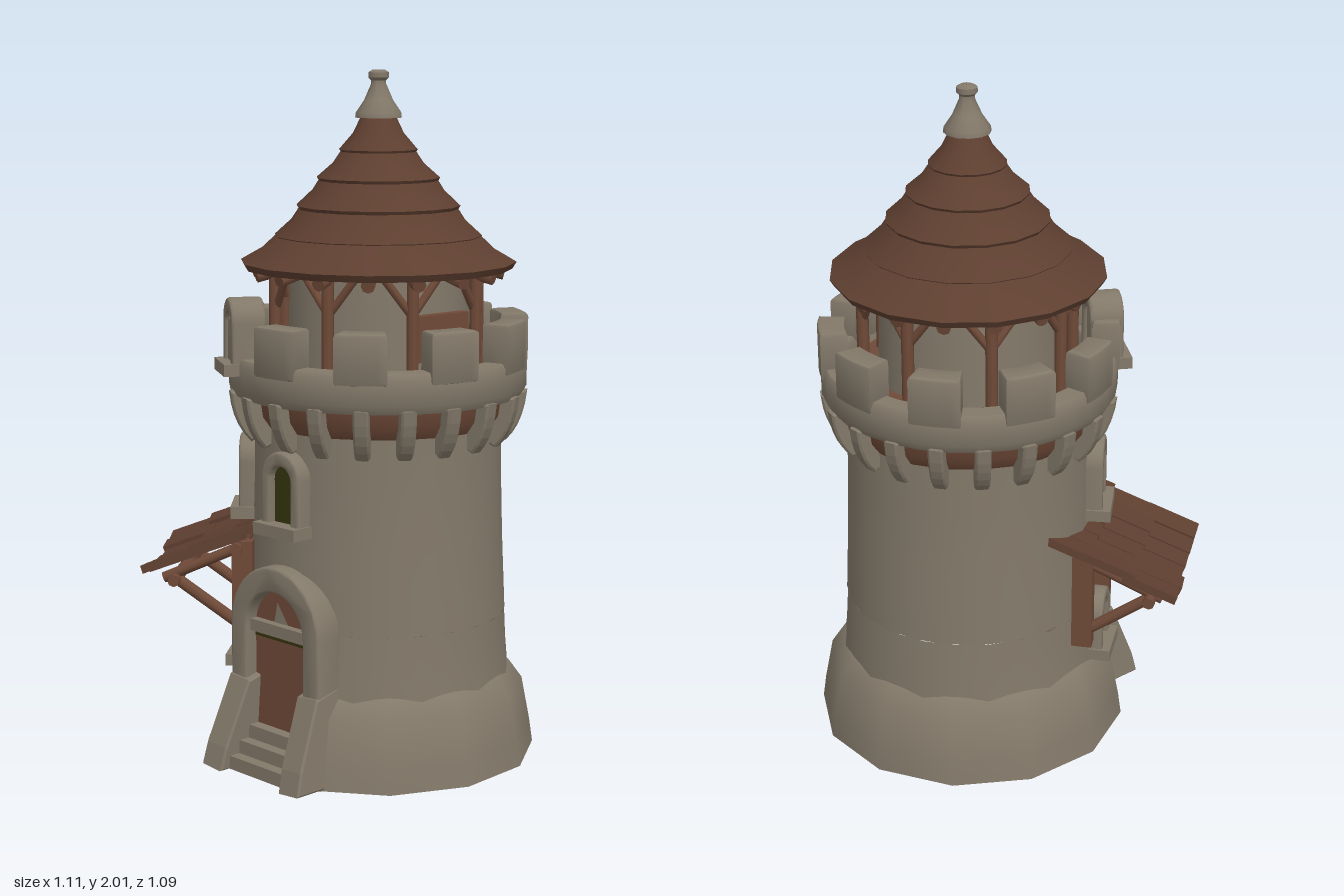
import * as THREE from 'three';
import { toCreasedNormals } from 'three/addons/utils/BufferGeometryUtils.js';

const material = (name, color, side = THREE.FrontSide) => {
  const m = new THREE.MeshStandardMaterial({ color, side });
  m.name = name;
  return m;
};
const stone = material('stone', 0x83796a, THREE.DoubleSide);
const wood = material('wood', 0x6f4a38);
const shingle = material('shingle', 0x5e3f30, THREE.DoubleSide);
const dark = material('window dark', 0x35340f);

const rad = THREE.MathUtils.degToRad;

function add(parent, name, geometry, mat, x = 0, y = 0, z = 0) {
  const mesh = new THREE.Mesh(geometry, mat);
  mesh.name = name;
  mesh.position.set(x, y, z);
  parent.add(mesh);
  return mesh;
}

// Group turned about the tower axis, so its local +z points outward (0 = front)
function spoke(parent, name, degrees) {
  const g = new THREE.Group();
  g.name = name;
  g.rotation.y = rad(degrees);
  parent.add(g);
  return g;
}

const lathe = (pts, sides, start = 0, length = 360, crease = 40) => toCreasedNormals(
  new THREE.LatheGeometry(pts.map(p => new THREE.Vector2(...p)), sides, rad(start), rad(length)), rad(crease));

const box = (w, h, d) => new THREE.BoxGeometry(w, h, d);

// Round timber between two points
function timber(parent, name, a, b, radius) {
  const p = new THREE.Vector3(...a), q = new THREE.Vector3(...b);
  const mesh = add(parent, name, new THREE.CylinderGeometry(radius, radius, p.distanceTo(q), 8), wood);
  mesh.position.copy(p).lerp(q, 0.5);
  mesh.quaternion.setFromUnitVectors(new THREE.Vector3(0, 1, 0), q.sub(p).normalize());
}

// Round-topped outline standing on y = 0
function arch(Type, half, height) {
  const s = new Type();
  s.moveTo(-half, 0);
  s.lineTo(half, 0);
  s.lineTo(half, height - half);
  s.absarc(0, height - half, half, 0, Math.PI, false);
  s.lineTo(-half, 0);
  return s;
}

// Arched stone surround with rounded edges
function surround(half, height, thick, depth) {
  const b = 0.008;
  const s = arch(THREE.Shape, half - b, height - b);
  const inner = arch(THREE.Path, half - thick + b, height - thick);
  s.holes.push(inner);
  const g = new THREE.ExtrudeGeometry(s, {
    depth: depth - 2 * b, bevelSize: b, bevelThickness: b, bevelSegments: 2, curveSegments: 10 });
  return toCreasedNormals(g.translate(0, 0, b), rad(50));
}

function windowAt(parent, name, degrees, radius, y, half, height) {
  const g = spoke(parent, name, degrees);
  add(g, 'windowFrame', surround(half, height, half * 0.45, 0.1), stone, 0, y, radius - 0.065);
  add(g, 'windowPane', new THREE.ExtrudeGeometry(arch(THREE.Shape, half * 0.65, height - half * 0.4),
    { depth: 0.008, bevelEnabled: false }), dark, 0, y, radius + 0.004);
  add(g, 'windowSill', box(half * 2.2, 0.035, 0.09), stone, 0, y + 0.01, radius + 0.015);
}

function buildWalls(t) {
  // Flared foot and lower wall leave a gap for the doorway
  add(t, 'foot', lathe([[0.47, 0], [0.46, 0.07], [0.435, 0.2], [0.395, 0.255], [0.375, 0.27]], 11, 25, 320, 60), stone);
  add(t, 'lowerWall', lathe([[0.392, 0.235], [0.384, 0.33], [0.379, 0.43]], 22, 25, 320), stone);
  add(t, 'upperWall', lathe([[0.379, 0.43], [0.369, 0.65], [0.363, 0.85], [0.363, 1.1]], 24), stone);
  add(t, 'corbelBand', lathe([[0.36, 0.99], [0.39, 1.03], [0.4, 1.09]], 24), wood);
  add(t, 'parapet', lathe([[0.36, 1.075], [0.42, 1.075], [0.434, 1.1], [0.435, 1.175], [0.425, 1.19],
    [0.37, 1.19], [0.36, 1.175], [0.36, 1.075]], 30), stone);
  add(t, 'walkway', new THREE.CylinderGeometry(0.365, 0.365, 0.02, 24), wood, 0, 1.13, 0);
  add(t, 'drum', lathe([[0.265, 1.13], [0.255, 1.47]], 24), stone);

  // Corbels
  const profile = new THREE.Shape();
  profile.moveTo(0.34, 1.08);
  profile.lineTo(0.34, 0.96);
  profile.lineTo(0.375, 0.945);
  profile.quadraticCurveTo(0.42, 0.99, 0.43, 1.08);
  const corbel = new THREE.ExtrudeGeometry(profile,
    { depth: 0.032, bevelSize: 0.006, bevelThickness: 0.006, bevelSegments: 1, curveSegments: 5 });
  corbel.translate(0, 0, -0.016).rotateY(-Math.PI / 2);
  for (let i = 0; i < 20; i++) add(spoke(t, 'corbelSpoke', 7 + i * 18), 'corbel', corbel, stone);

  // Merlons: curved blocks on the parapet
  const sector = new THREE.Shape();
  const a = rad(8.5);
  sector.absarc(0, 0, 0.428, -a, a, false);
  sector.absarc(0, 0, 0.368, a, -a, true);
  const merlon = new THREE.ExtrudeGeometry(sector,
    { depth: 0.125, bevelSize: 0.01, bevelThickness: 0.01, bevelSegments: 2, curveSegments: 4 });
  merlon.rotateX(-Math.PI / 2).rotateY(-Math.PI / 2);
  const smoothMerlon = toCreasedNormals(merlon, rad(40));
  for (let i = 0; i < 10; i++) add(spoke(t, 'merlonSpoke', 7 + i * 36), 'merlon', smoothMerlon, stone, 0, 1.165, 0);
}

function buildRoof(t) {
  // Overlapping shingle tiers: lower radius and height, upper radius and height
  const tiers = [[0.4, 1.455, 0.285, 1.54], [0.3, 1.53, 0.215, 1.63], [0.237, 1.615, 0.155, 1.715],
    [0.178, 1.695, 0.095, 1.79], [0.113, 1.775, 0.045, 1.88]];
  for (const [r0, y0, r1, y1] of tiers) {
    const mid = [(r0 + r1) / 2 - 0.006, (y0 + y1) / 2 - 0.006];
    add(t, 'roofTier', lathe([[r1 - 0.02, y1 - 0.03], [r0 - 0.012, y0 - 0.02], [r0, y0], mid, [r1, y1]], 16), shingle);
  }
  add(t, 'eaveUnderside', lathe([[0.25, 1.475], [0.385, 1.438]], 16), shingle);
  add(t, 'finial', lathe([[0.068, 1.865], [0.066, 1.88], [0.042, 1.915], [0.022, 1.96], [0.022, 1.97],
    [0.03, 1.978], [0.03, 1.993], [0.018, 2], [0, 2]], 12), stone);

  // Posts, braces and rafter ends
  for (let i = 0; i < 8; i++) {
    const g = spoke(t, 'roofPost', 22.5 + i * 45);
    timber(g, 'post', [0, 1.14, 0.31], [0, 1.45, 0.31], 0.018);
    for (const s of [-1, 1]) timber(g, 'brace', [0, 1.33, 0.305], [s * 0.09, 1.45, 0.295], 0.012);
  }
  for (let i = 0; i < 16; i++)
    timber(spoke(t, 'rafterSpoke', i * 22.5), 'rafterEnd', [0, 1.45, 0.25], [0, 1.422, 0.365], 0.02);
  const hatch = spoke(t, 'hatch', 90);
  add(hatch, 'hatchBoard', box(0.2, 0.13, 0.03), wood, -0.02, 1.265, 0.285);
}

function buildDoor(t) {
  const g = spoke(t, 'doorway', 4);
  add(g, 'doorFrame', surround(0.185, 0.61, 0.066, 0.09), stone, 0, 0, 0.325);
  add(g, 'door', new THREE.ExtrudeGeometry(arch(THREE.Shape, 0.14, 0.56),
    { depth: 0.03, bevelEnabled: false }), wood, 0, 0, 0.345);
  add(g, 'doorTransom', box(0.23, 0.035, 0.03), stone, 0, 0.42, 0.385);
  add(g, 'transomGap', box(0.23, 0.016, 0.008), dark, 0, 0.394, 0.378);
  [[0.04, 0.48], [0.08, 0.445], [0.12, 0.41]].forEach(([h, front]) =>
    add(g, 'step', box(0.25, h, front - 0.35), stone, 0, h / 2, (front + 0.35) / 2));

  // Sloping buttress at the foot of each jamb
  const side = new THREE.Shape([[0.34, 0], [0.505, 0], [0.49, 0.06], [0.415, 0.25], [0.34, 0.27]]
    .map(p => new THREE.Vector2(...p)));
  const foot = new THREE.ExtrudeGeometry(side,
    { depth: 0.075, bevelSize: 0.006, bevelThickness: 0.006, bevelSegments: 1 });
  foot.translate(0, 0.006, -0.0375).rotateY(-Math.PI / 2);
  for (const s of [-1, 1]) add(g, 'jambFoot', foot, stone, s * 0.165, 0, 0).rotation.z = s * 0.08;
}

function buildAwning(t) {
  const g = spoke(t, 'awning', -47);
  // Three overlapping rows of planks, sagging a little in the middle
  const slope = Math.atan2(0.17, 0.38);
  for (let row = 0; row < 3; row++) {
    for (let i = 0; i < 6; i++) {
      const x = (i - 2.5) * 0.077;
      const f = (row + 0.5) / 3;
      const jitter = ((i * 5 + row * 3) % 4) * 0.004;
      const plank = add(g, 'plank', box(0.076, 0.024, 0.165), shingle,
        x, 0.712 - 0.17 * f + x * x * 0.45 + jitter * 0.5, 0.255 + 0.38 * f + jitter);
      plank.rotation.set(slope - 0.06, 0, x * 0.7);
    }
  }
  timber(g, 'frontBeam', [-0.2, 0.53, 0.575], [0.2, 0.53, 0.575], 0.018);
  timber(g, 'wallBeam', [-0.2, 0.63, 0.39], [0.2, 0.63, 0.39], 0.018);
  for (const s of [-1, 1]) {
    const x = s * 0.16;
    add(g, 'wallPost', box(0.045, 0.3, 0.06), wood, x, 0.5, 0.375);
    timber(g, 'strut', [x, 0.4, 0.39], [x, 0.53, 0.575], 0.018);
    timber(g, 'rafter', [x, 0.64, 0.36], [x, 0.53, 0.61], 0.016);
  }
}

export function createModel() {
  const model = new THREE.Group();
  model.name = 'watchtower';
  const tower = new THREE.Group();
  tower.name = 'tower';
  tower.position.set(0.075, 0, -0.07);
  model.add(tower);

  buildWalls(tower);
  buildRoof(tower);
  buildDoor(tower);
  buildAwning(tower);
  windowAt(tower, 'frontWindow', 6, 0.368, 0.71, 0.075, 0.235);
  windowAt(tower, 'sideWindow', -42, 0.368, 0.71, 0.075, 0.235);
  windowAt(tower, 'lowWindow', -47, 0.385, 0.25, 0.07, 0.2);
  windowAt(tower, 'parapetWindow', -26, 0.41, 1.15, 0.07, 0.21);
  return model;
}
